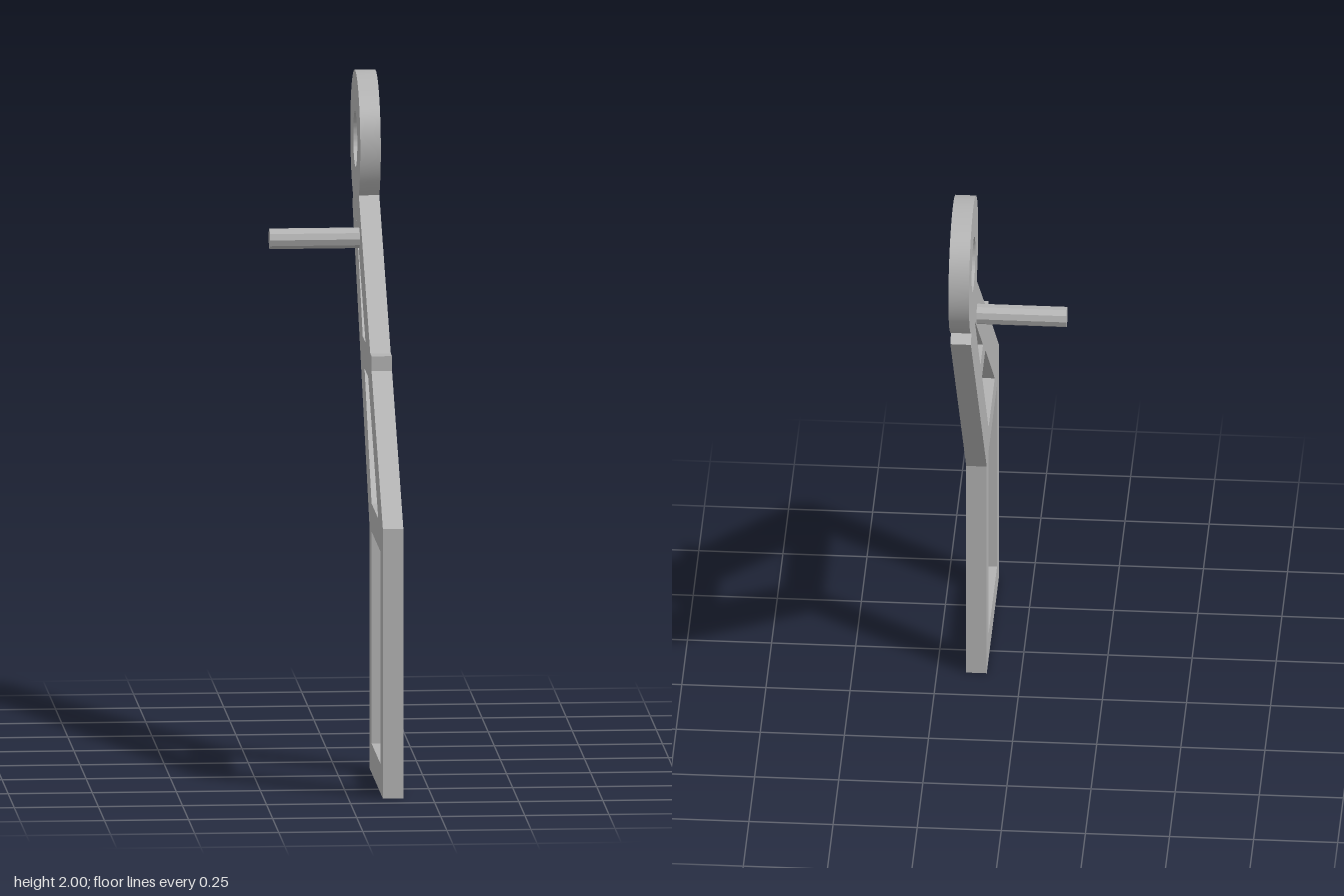
import * as THREE from 'three';
import { toCreasedNormals } from 'three/addons/utils/BufferGeometryUtils.js';

const X0 = 0.102, X1 = 0.163; // plate thickness range

// closed path from [s, y] points, where s = -z
function path(points) {
  return new THREE.Path(points.map(([s, y]) => new THREE.Vector2(s, y)));
}

export function createModel() {
  const group = new THREE.Group();
  const grey = new THREE.MeshStandardMaterial({ color: 0xb3b3b3 });
  grey.name = 'plain grey';

  // Outline: rectangular frame, leaning arm with a notch step, round eye on top
  const cs = 0.46, cy = 1.795, R = 0.205;
  const angle = (s, y) => Math.atan2(y - cy, s - cs);
  const outline = new THREE.Shape();
  outline.moveTo(-0.667, 0);
  outline.lineTo(-0.667, 0.81);
  outline.lineTo(-0.204, 1.208);
  outline.lineTo(-0.204, 1.252);
  outline.lineTo(-0.152, 1.252);
  outline.absarc(cs, cy, R, angle(0.315, 1.648), angle(0.55, 1.612), true);
  outline.lineTo(0.579, 1.588);
  outline.lineTo(-0.124, 0.723);
  outline.lineTo(-0.124, 0);
  outline.closePath();

  // Openings: lower window, two tapering arm slots, eye hole
  outline.holes.push(
    path([[-0.58, 0.088], [-0.205, 0.088], [-0.205, 0.726], [-0.58, 0.726]]),
    path([[-0.479, 0.81], [-0.204, 0.81], [0.082, 1.168], [-0.066, 1.168]]),
    path([[0.04, 1.252], [0.156, 1.252], [0.405, 1.563]]),
    new THREE.Path().absarc(cs, cy, 0.083, 0, Math.PI * 2, false)
  );

  const plateGeo = new THREE.ExtrudeGeometry(outline, {
    depth: X1 - X0, bevelEnabled: false, curveSegments: 40
  });
  plateGeo.rotateY(Math.PI / 2);
  plateGeo.translate(X0, 0, 0);
  const plate = new THREE.Mesh(toCreasedNormals(plateGeo, 0.4), grey);
  plate.name = 'armPlate';
  group.add(plate);

  // Faceted peg sticking out of the inner side
  const pegGeo = new THREE.CylinderGeometry(0.031, 0.031, X0 + 0.01 + 0.165, 10);
  pegGeo.rotateZ(Math.PI / 2);
  const peg = new THREE.Mesh(toCreasedNormals(pegGeo, 0.3), grey);
  peg.name = 'peg';
  peg.position.set((X0 + 0.01 - 0.165) / 2, 1.524, -0.302);
  group.add(peg);

  return group;
}
